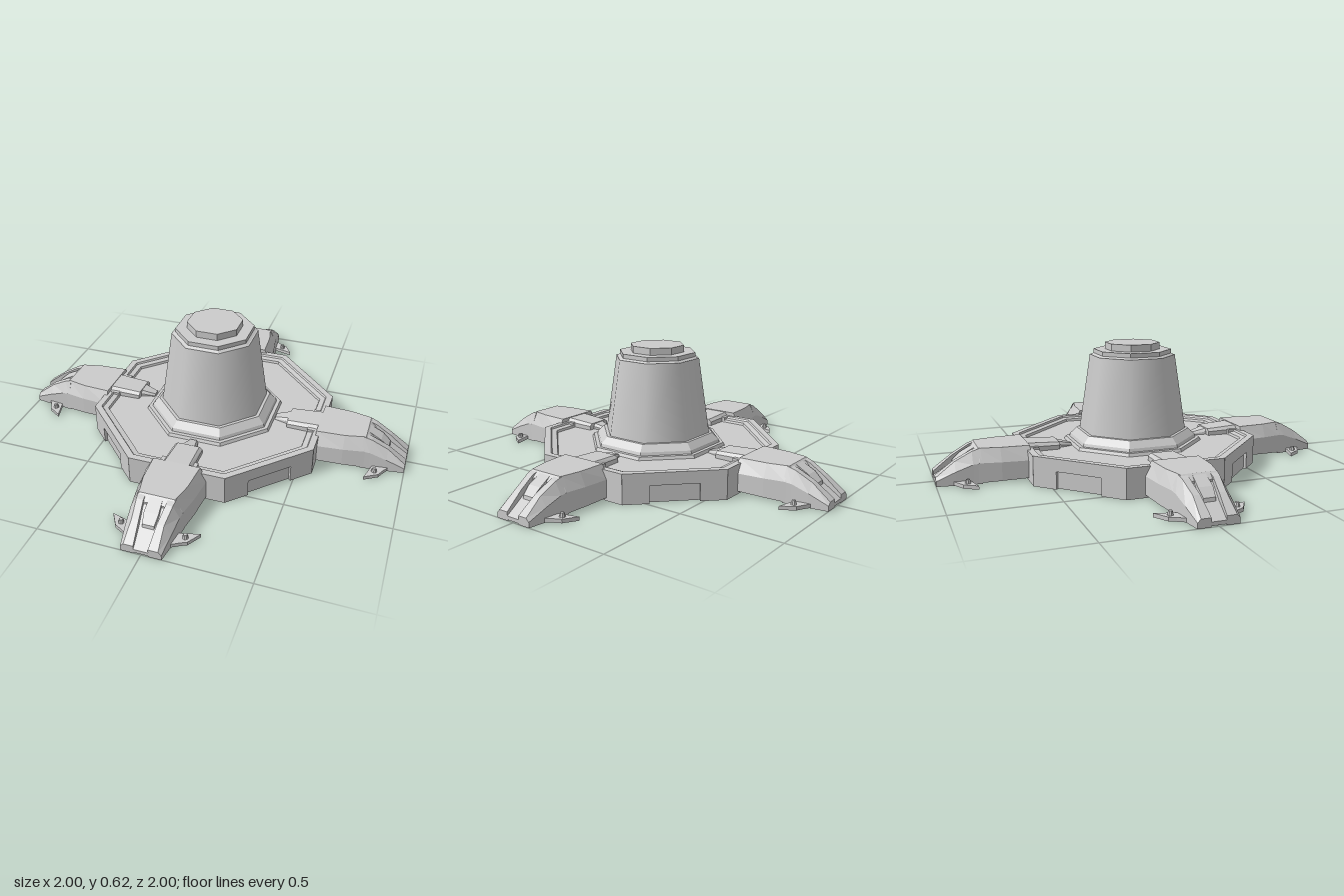
import * as THREE from 'three';

const flat = new THREE.MeshStandardMaterial({ color: 0xcccccc, flatShading: true, side: THREE.DoubleSide });
const smooth = new THREE.MeshStandardMaterial({ color: 0xcccccc });
const OCT = Math.cos(Math.PI / 8); // apothem to corner radius

function add(parent, name, geometry, material = flat) {
  const mesh = new THREE.Mesh(geometry, material);
  mesh.name = name;
  parent.add(mesh);
  return mesh;
}

// Eight-sided drum with flats on the axes, sized by apothem
function drum(parent, name, aTop, aBottom, y0, y1, material = flat) {
  const g = new THREE.CylinderGeometry(aTop / OCT, aBottom / OCT, y1 - y0, 8);
  g.rotateY(Math.PI / 8);
  add(parent, name, g, material).position.y = (y0 + y1) / 2;
}

// Closed solid through convex cross-sections: [z, [[x, y], ...counter-clockwise]]
function loft(sections) {
  const pos = [];
  const tri = (...pts) => pts.forEach((p) => pos.push(...p));
  const rings = sections.map(([z, pts]) => pts.map(([x, y]) => [x, y, z]));
  const n = rings[0].length;
  for (let i = 0; i < rings.length - 1; i++) {
    for (let j = 0; j < n; j++) {
      const k = (j + 1) % n;
      const [a, b, c, d] = [rings[i][j], rings[i][k], rings[i + 1][k], rings[i + 1][j]];
      tri(a, b, c);
      tri(a, c, d);
    }
  }
  const first = rings[0], last = rings[rings.length - 1];
  for (let j = 1; j < n - 1; j++) {
    tri(first[0], first[j + 1], first[j]);
    tri(last[0], last[j], last[j + 1]);
  }
  const g = new THREE.BufferGeometry();
  g.setAttribute('position', new THREE.Float32BufferAttribute(pos, 3));
  g.computeVertexNormals();
  return g;
}

// Shouldered section: base half-width w, top half-width t
const hull = (w, t, yb, ys, yt) => [[-w, yb], [w, yb], [w, ys], [t, yt], [-t, yt], [-w, ys]];
const box = (w, yb, yt) => [[-w, yb], [w, yb], [w, yt], [-w, yt]];
// Section of one side cheek, from inner edge to outer edge
const cheek = (inner, t, w, ys, yt, s) => {
  const pts = [[inner, 0], [w, 0], [w, ys], [t, yt], [inner, yt]];
  return s > 0 ? pts : pts.map(([x, y]) => [-x, y]).reverse();
};

function makeWall(notched) {
  const wall = new THREE.Group();
  wall.name = 'skirtWall';
  const h = 0.238, top = 0.145, nw = 0.115, nh = 0.085;
  const outline = notched
    ? [[-h, 0], [-nw, 0], [-nw, nh], [nw, nh], [nw, 0], [h, 0], [h, top], [-h, top]]
    : [[-h, 0], [h, 0], [h, top], [-h, top]];
  const shape = new THREE.Shape(outline.map(([x, y]) => new THREE.Vector2(x, y)));
  const g = new THREE.ExtrudeGeometry(shape, { depth: 0.024, bevelEnabled: false });
  add(wall, 'wallPlate', g).position.z = 0.575 - 0.024;
  if (notched) {
    add(wall, 'recessedPanel', new THREE.BoxGeometry(nw * 2, nh, 0.01)).position.set(0, nh / 2 + 0.002, 0.556);
  }
  return wall;
}

function makeArm() {
  const arm = new THREE.Group();
  arm.name = 'arm';

  // Main beam
  add(arm, 'armBeam', loft([
    [0.56, hull(0.15, 0.115, 0.015, 0.1, 0.165)],
    [0.7, hull(0.137, 0.107, 0.01, 0.1, 0.165)],
    [0.8, hull(0.12, 0.085, 0.005, 0.1, 0.165)],
    [0.83, hull(0.115, 0.075, 0.005, 0.09, 0.14)],
  ]));

  // Sloping nose: sunken centre between two cheeks
  add(arm, 'noseFloor', loft([
    [0.78, box(0.055, 0.005, 0.15)],
    [0.83, box(0.055, 0.005, 0.13)],
    [0.91, box(0.045, 0.005, 0.075)],
    [1, box(0.037, 0.005, 0.022)],
  ]));
  add(arm, 'noseVisor', loft([
    [0.8, box(0.03, 0.08, 0.163)],
    [0.87, box(0.034, 0.06, 0.125)],
    [0.91, box(0.028, 0.04, 0.09)],
    [0.915, box(0.028, 0.03, 0.06)],
  ]));

  for (const s of [-1, 1]) {
    add(arm, 'noseCheek', loft([
      [0.79, cheek(0.052, 0.09, 0.121, 0.1, 0.165, s)],
      [0.83, cheek(0.052, 0.085, 0.116, 0.095, 0.152, s)],
      [0.91, cheek(0.042, 0.075, 0.107, 0.065, 0.108, s)],
      [1, cheek(0.034, 0.08, 0.095, 0.025, 0.04, s)],
    ]));

    // Swept ground fin with its bolt
    const outline = [[0.09, 0.93], [0.14, 0.9], [0.17, 0.885], [0.21, 0.82], [0.09, 0.852]];
    const shape = new THREE.Shape(outline.map(([x, z]) => new THREE.Vector2(s * x, z)));
    const fin = new THREE.ExtrudeGeometry(shape, { depth: 0.018, bevelEnabled: false });
    fin.rotateX(Math.PI / 2);
    add(arm, 'fin', fin).position.y = 0.02;
    add(arm, 'finBolt', new THREE.CylinderGeometry(0.009, 0.014, 0.02, 8)).position.set(s * 0.152, 0.03, 0.862);
  }

  // Tongue reaching over the deck, and the rim blocks it passes through
  add(arm, 'rimBlock', new THREE.BoxGeometry(0.18, 0.04, 0.065)).position.set(0, 0.126, 0.542);
  add(arm, 'tongue', loft([
    [0.33, hull(0.022, 0.016, 0.115, 0.122, 0.132)],
    [0.4, hull(0.042, 0.03, 0.115, 0.135, 0.15)],
    [0.401, hull(0.07, 0.055, 0.115, 0.14, 0.153)],
    [0.58, hull(0.075, 0.06, 0.115, 0.145, 0.163)],
  ]));
  return arm;
}

export function createModel() {
  const model = new THREE.Group();
  model.name = 'turretBase';

  // Deck shell: rim, sunken floor and raised collar, open underneath
  const profile = [
    [0.575, 0.145], [0.543, 0.145], [0.538, 0.136], [0.512, 0.132], [0.508, 0.12],
    [0.325, 0.12], [0.318, 0.135], [0.3, 0.135], [0.295, 0.15], [0.265, 0.182], [0.25, 0.182], [0, 0.182],
  ].map(([a, y]) => new THREE.Vector2(a / OCT, y));
  add(model, 'deck', new THREE.LatheGeometry(profile, 8, Math.PI / 8));

  // Skirt: plain walls behind the arms, notched walls on the diagonals
  for (let i = 0; i < 8; i++) {
    const wall = makeWall(i % 2 === 1);
    wall.rotation.y = i * Math.PI / 4;
    model.add(wall);
  }

  // Tapered tower with stepped cap
  drum(model, 'tower', 0.198, 0.25, 0.18, 0.56, smooth);
  drum(model, 'towerBand', 0.18, 0.192, 0.56, 0.567);
  drum(model, 'upperBand', 0.18, 0.18, 0.565, 0.588);
  drum(model, 'cap', 0.127, 0.127, 0.588, 0.622);

  for (let i = 0; i < 4; i++) {
    const arm = makeArm();
    arm.rotation.y = i * Math.PI / 2;
    model.add(arm);
  }
  return model;
}
